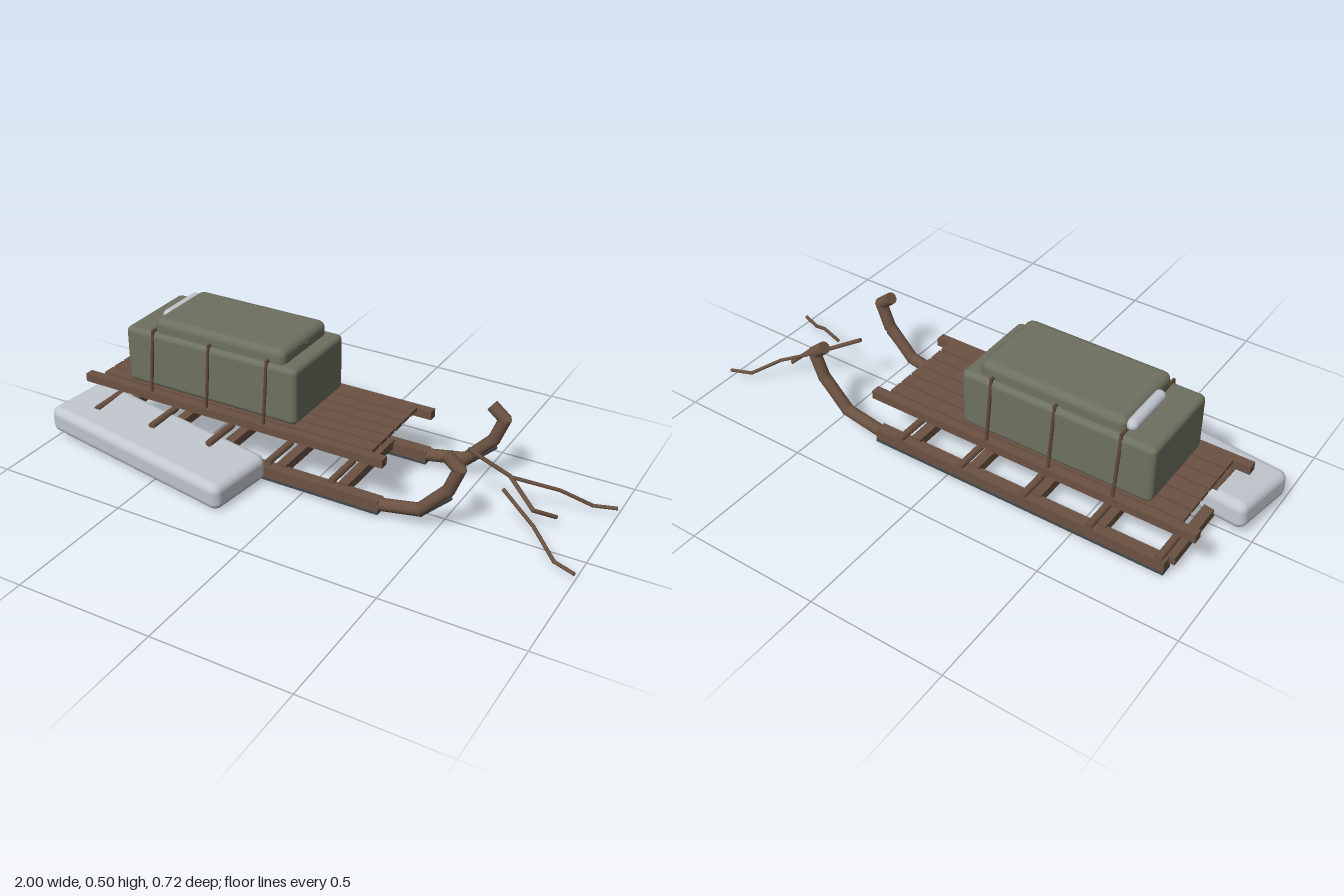
import * as THREE from 'three';
import { RoundedBoxGeometry } from 'three/addons/geometries/RoundedBoxGeometry.js';

const V = (x, y, z) => new THREE.Vector3(x, y, z);

export function createModel() {
  const model = new THREE.Group();
  model.name = 'loadedSled';

  const mat = (name, color) => {
    const m = new THREE.MeshStandardMaterial({ color });
    m.name = name;
    return m;
  };
  const wood = mat('wood', 0x6b5242);
  const canvas = mat('canvas', 0x6e705f);
  const snow = mat('paleGrey', 0xc2c7cf);
  const steel = mat('darkSteel', 0x43494c);
  const rope = mat('rope', 0x5c4636);

  const add = (name, geometry, material, x = 0, y = 0, z = 0) => {
    const mesh = new THREE.Mesh(geometry, material);
    mesh.name = name;
    mesh.position.set(x, y, z);
    model.add(mesh);
    return mesh;
  };
  // Box given by its lower and upper corners
  const box = (name, material, a, b) =>
    add(name, new THREE.BoxGeometry(b[0] - a[0], b[1] - a[1], b[2] - a[2]), material,
      (a[0] + b[0]) / 2, (a[1] + b[1]) / 2, (a[2] + b[2]) / 2);
  // Chain of straight round rods through the points, slightly overlapping
  const rods = (name, material, points, radius, sides, overlap = 0) => {
    for (let i = 0; i < points.length - 1; i++) {
      const dir = points[i + 1].clone().sub(points[i]);
      const len = dir.length();
      const rod = add(name, new THREE.CylinderGeometry(radius, radius, len + overlap, sides), material);
      rod.position.copy(points[i]).addScaledVector(dir, 0.5);
      rod.quaternion.setFromUnitVectors(V(0, 1, 0), dir.normalize());
    }
  };

  const C = -0.096;                       // centre line of the sled
  const half = 0.187;                     // centre line to runner
  const posts = [-0.842, -0.594, -0.346, -0.098, 0.15];

  for (const s of [1, -1]) {
    const z = C + s * half;
    // Runner, metal shoe and upturned front
    box('runner', wood, [-0.84, 0.028, z - 0.022], [0.3, 0.07, z + 0.022]);
    box('runnerShoe', steel, [-0.84, 0.019, z - 0.024], [0.3, 0.029, z + 0.024]);
    rods('runnerCurl', wood, [V(0.285, 0.047, z), V(0.445, 0.078, z), V(0.545, 0.185, z),
      V(0.58, 0.275, z), V(0.535, 0.312, z)], 0.0225, 14, 0.014);
    rods('curlShoe', steel, [V(0.285, 0.03, z), V(0.45, 0.06, z), V(0.55, 0.155, z)], 0.009, 8, 0.01);

    // Deck side rail
    box('sideRail', wood, [-0.93, 0.203, z - 0.017], [0.31, 0.234, z + 0.017]);

    // Short pegs above the runner
    for (const x of posts) {
      rods('peg', wood, [V(x, 0.135, z - 0.076), V(x, 0.135, z + 0.076)], 0.013, 10);
    }

    // Bent twigs either side of the front
    rods('sideTwig', wood, [V(0.68, 0.15, C + s * 0.043), V(0.82, 0.1, C + s * 0.123),
      V(0.92, 0.036, C + s * 0.185), V(0.996, 0.034, C + s * 0.212)], 0.0065, 8, 0.005);
  }

  // Cross bars between the runners
  for (const x of posts) {
    box('crossBar', wood, [x - 0.019, 0.047, C - half + 0.01], [x + 0.019, 0.08, C + half - 0.01]);
  }

  // Deck slats
  for (let i = 0; i < 6; i++) {
    const z = C + (i - 2.5) * 0.0575;
    box('deckSlat', wood, [-0.87, 0.226, z - 0.0245], [0.255, 0.24, z + 0.0245]);
  }

  // Middle twig
  rods('middleTwig', wood, [V(0.53, 0.238, -0.097), V(0.67, 0.158, -0.131),
    V(0.78, 0.089, -0.075), V(0.837, 0.04, -0.147)], 0.0075, 8, 0.006);

  // Canvas load with a smaller bundle on top
  add('mainLoad', new RoundedBoxGeometry(0.71, 0.215, 0.34, 3, 0.02), canvas, -0.4, 0.348, -0.097);
  add('topBundle', new RoundedBoxGeometry(0.54, 0.11, 0.304, 2, 0.028), canvas, -0.37, 0.452, -0.096);

  // Bedroll lying across the back of the bundle
  add('bedroll', new THREE.CapsuleGeometry(0.021, 0.165, 6, 14), snow, -0.647, 0.478, -0.132)
    .rotation.x = Math.PI / 2;

  // Small knot on the end of the bundle
  add('knot', new THREE.SphereGeometry(0.012, 8, 6), rope, -0.099, 0.478, -0.1).scale.set(0.7, 0.4, 1);

  // Ropes from rail to rail over the load
  for (const x of [-0.636, -0.398, -0.16]) {
    rods('lashing', rope, [V(x, 0.225, C + 0.194), V(x, 0.462, C + 0.164),
      V(x, 0.462, C - 0.164), V(x, 0.225, C - 0.194)], 0.006, 8, 0.006);
  }

  // Pale rounded pack lying tilted beside the sled
  add('fallenPack', new RoundedBoxGeometry(0.83, 0.104, 0.27, 4, 0.032), snow, -0.576, 0.075, 0.17)
    .rotation.set(0.045, -0.148, -0.038, 'YZX');

  return model;
}
